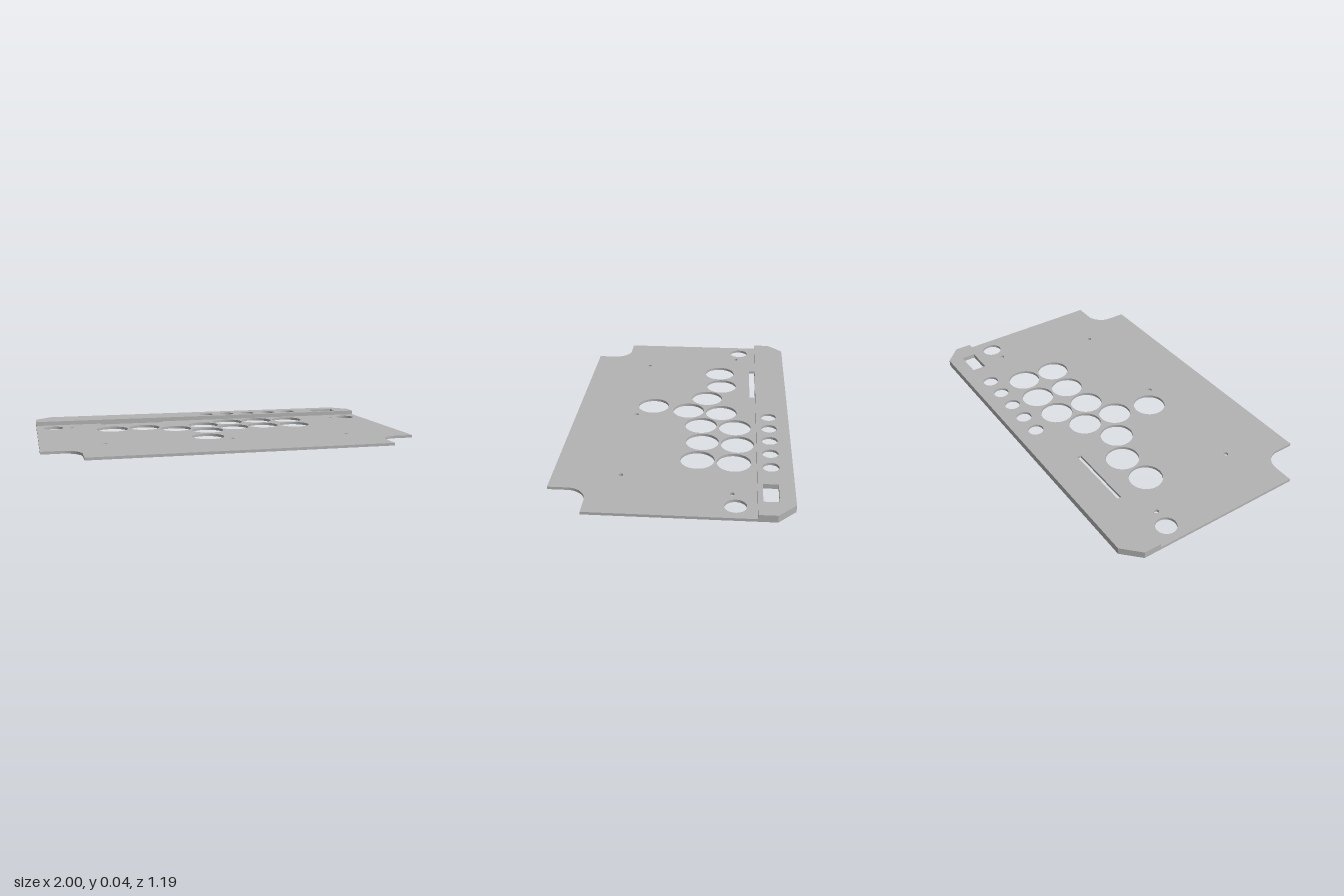
import * as THREE from 'three';

const PLATE_TOP = 0.014, CAP_BOTTOM = 0.024, BAR_TOP = 0.037, SEAM = -0.418;

// Shapes are drawn in (x, z) and extruded downwards from `top`
function slab(name, shape, bottom, top, material) {
  const geo = new THREE.ExtrudeGeometry(shape, { depth: top - bottom, bevelEnabled: false, curveSegments: 24 });
  geo.rotateX(Math.PI / 2).translate(0, top, 0);
  const mesh = new THREE.Mesh(geo, material);
  mesh.name = name;
  return mesh;
}

const polygon = (points) => new THREE.Shape(points.map(([x, z]) => new THREE.Vector2(x, z)));
const rect = (x0, x1, z0, z1) => polygon([[x0, z0], [x1, z0], [x1, z1], [x0, z1]]);

function drill(shape, centres, r) {
  for (const [x, z] of centres) shape.holes.push(new THREE.Path().absarc(x, z, r, 0, Math.PI * 2, true));
}

// Bar outline with the two rear corners cut off
const barOutline = () => polygon([[-1, SEAM], [-1, -0.51], [-0.91, -0.597], [0.91, -0.597], [1, -0.51], [1, SEAM]]);

export function createModel() {
  const group = new THREE.Group();
  group.name = 'controllerTopPanel';
  const grey = new THREE.MeshStandardMaterial({ color: 0xb3b3b3 });
  grey.name = 'panelGrey';

  // Main plate with rounded notches at the front corners
  const plate = new THREE.Shape();
  plate.moveTo(-1, SEAM);
  plate.lineTo(1, SEAM);
  plate.lineTo(1, 0.4);
  plate.lineTo(0.9, 0.4);
  plate.absarc(0.9, 0.5, 0.1, -Math.PI / 2, -Math.PI, true);
  plate.lineTo(0.8, 0.597);
  plate.lineTo(-0.8, 0.597);
  plate.lineTo(-0.8, 0.5);
  plate.absarc(-0.9, 0.5, 0.1, 0, -Math.PI / 2, true);
  plate.lineTo(-1, 0.4);
  plate.closePath();

  // Main button holes, corner holes, screw holes and cable slot
  drill(plate, [
    [-0.577, -0.198], [-0.39, -0.214], [-0.219, -0.134], [-0.037, -0.222],
    [-0.053, -0.035], [-0.1, 0.17], [0.134, -0.302], [0.321, -0.318],
    [0.51, -0.302], [0.12, -0.115], [0.306, -0.131], [0.495, -0.115],
  ], 0.088);
  drill(plate, [[-0.904, -0.315], [0.902, -0.315]], 0.054);
  drill(plate, [[-0.803, -0.297], [0.8, -0.297], [-0.669, 0.256], [0.014, 0.256], [0.667, 0.256]], 0.012);
  plate.holes.push(rect(-0.625, -0.25, -0.417, -0.384));
  group.add(slab('mainPlate', plate, 0, PLATE_TOP, grey));

  // Top skin of the raised rear bar, with small button holes and a port
  const cap = barOutline();
  drill(cap, [0.043, 0.177, 0.311, 0.446, 0.58].map((x) => [x, -0.487]), 0.042);
  cap.holes.push(rect(0.738, 0.89, -0.52, -0.443));
  group.add(slab('rearBarTop', cap, CAP_BOTTOM, BAR_TOP, grey));

  // Walls and ribs below the skin, leaving open bays underneath
  const walls = barOutline();
  const back = -0.58, front = -0.433;
  walls.holes.push(
    polygon([[0.68, front], [0.98, front], [0.98, -0.505], [0.905, back], [0.68, back]]),
    rect(-0.05, 0.655, back, front),
    rect(-0.85, -0.075, back, front),
    polygon([[-0.98, front], [-0.875, front], [-0.875, back], [-0.905, back], [-0.98, -0.505]]),
  );
  group.add(slab('rearBarWalls', walls, 0, CAP_BOTTOM, grey));

  // Raised frame under the port
  const frame = rect(0.72, 0.908, -0.538, front);
  frame.holes.push(rect(0.738, 0.89, -0.52, -0.443));
  group.add(slab('portFrame', frame, 0.012, CAP_BOTTOM, grey));

  return group;
}
